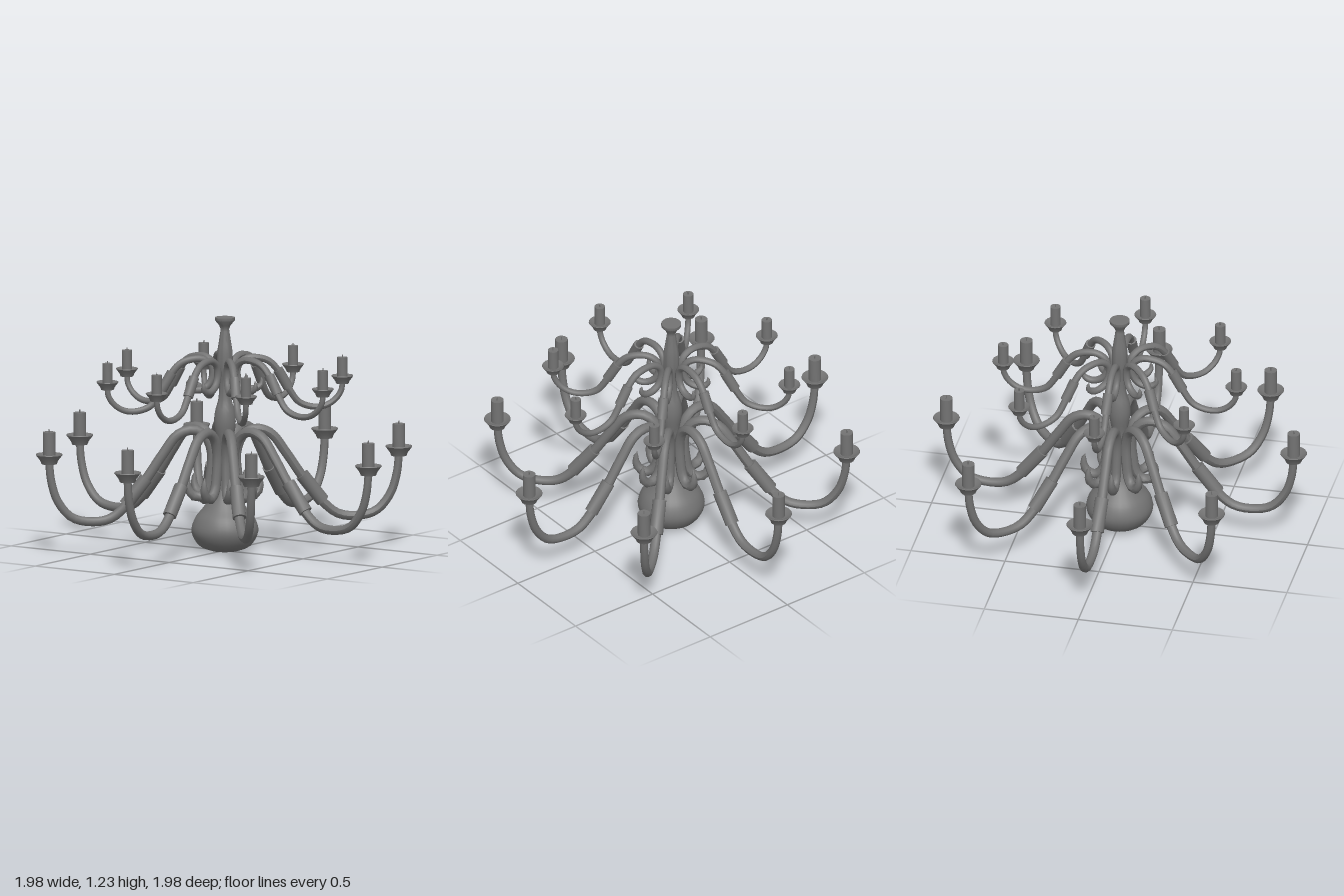
import * as THREE from 'three';
import { toCreasedNormals } from 'three/addons/utils/BufferGeometryUtils.js';

const material = new THREE.MeshStandardMaterial({ color: 0x737373, side: THREE.DoubleSide });

function addMesh(parent, name, geometry) {
  const mesh = new THREE.Mesh(geometry, material);
  mesh.name = name;
  parent.add(mesh);
  return mesh;
}

const vectors = (points) => points.map(([x, y]) => new THREE.Vector2(x, y));

// Turned part; sharp profile corners stay sharp
const lathe = (points, sides) => toCreasedNormals(new THREE.LatheGeometry(vectors(points), sides), 0.7);

// Tube in the XY plane, narrowing to a point over its first part
function taperedTube(points, radius, taper) {
  const curve = new THREE.CatmullRomCurve3(points.map(([x, y]) => new THREE.Vector3(x, y, 0)));
  const segments = 56, sides = 10;
  const geometry = new THREE.TubeGeometry(curve, segments, radius, sides);
  const pos = geometry.attributes.position;
  const v = new THREE.Vector3();
  for (let i = 0; i <= segments; i++) {
    const t = i / segments;
    const centre = curve.getPointAt(t);
    const scale = t < taper ? Math.sqrt(t / taper) : 1 - 0.2 * Math.max(0, t - 0.6) / 0.4;
    for (let j = 0; j <= sides; j++) {
      const k = i * (sides + 1) + j;
      v.fromBufferAttribute(pos, k).sub(centre).multiplyScalar(scale).add(centre);
      pos.setXYZ(k, v.x, v.y, v.z);
    }
  }
  geometry.computeVertexNormals();
  return geometry;
}

// One arm with scroll, sleeve, drip cup, candle and wick, reaching along +x
function makeArm(spec) {
  const arm = new THREE.Group();
  addMesh(arm, 'armTube', taperedTube(spec.path, spec.tube, 0.07));

  const [a, b] = spec.sleeve.map(([x, y]) => new THREE.Vector3(x, y, 0));
  const length = a.distanceTo(b);
  const sleeve = addMesh(arm, 'sleeve', toCreasedNormals(
    new THREE.CylinderGeometry(spec.sleeveRadius, spec.sleeveRadius, length, 12), 0.7));
  sleeve.position.copy(a).lerp(b, 0.5);
  sleeve.quaternion.setFromUnitVectors(new THREE.Vector3(0, 1, 0), b.clone().sub(a).normalize());

  const holder = new THREE.Group();
  holder.name = 'candleHolder';
  holder.position.set(...spec.cup, 0);
  holder.scale.setScalar(spec.cupScale);
  addMesh(holder, 'dripCup', lathe(
    [[0, 0], [0.04, 0], [0.047, 0.018], [0.07, 0.048], [0.068, 0.053], [0.04, 0.038], [0, 0.038]], 20));
  addMesh(holder, 'candle', lathe([[0, 0.03], [0.033, 0.03], [0.033, 0.168], [0, 0.165]], 16));
  const wick = addMesh(holder, 'wick', new THREE.CylinderGeometry(0.003, 0.004, 0.018, 6));
  wick.position.y = 0.174;
  arm.add(holder);
  return arm;
}

const lowerArm = {
  path: [[0.183, 0.405], [0.192, 0.35], [0.172, 0.3], [0.13, 0.285], [0.09, 0.32], [0.07, 0.41],
    [0.065, 0.52], [0.1, 0.607], [0.165, 0.638], [0.245, 0.613], [0.325, 0.51], [0.41, 0.385],
    [0.515, 0.25], [0.6, 0.182], [0.7, 0.168], [0.8, 0.193], [0.875, 0.28], [0.91, 0.39], [0.92, 0.485]],
  tube: 0.026, sleeve: [[0.41, 0.39], [0.52, 0.25]], sleeveRadius: 0.036, cup: [0.92, 0.477], cupScale: 1,
};
const upperArm = {
  path: [[0.19, 0.91], [0.195, 0.875], [0.165, 0.85], [0.125, 0.85], [0.085, 0.875], [0.065, 0.925],
    [0.075, 0.98], [0.12, 1.01], [0.18, 1.01], [0.235, 0.99], [0.285, 0.935], [0.34, 0.84],
    [0.39, 0.773], [0.46, 0.746], [0.53, 0.75], [0.585, 0.784], [0.615, 0.83], [0.62, 0.868]],
  tube: 0.0185, sleeve: [[0.28, 0.945], [0.335, 0.85]], sleeveRadius: 0.027, cup: [0.62, 0.863], cupScale: 0.82,
};

// Small hand-set differences in the spread of the lower arms, in degrees
const lowerOffsets = [0.6, 1.3, -1.8, 1.3, 0.6, 1.3, -0.2, 0.9];

function makeTier(name, spec, offsets) {
  const tier = new THREE.Group();
  tier.name = name;
  for (let i = 0; i < 8; i++) {
    const arm = makeArm(spec);
    arm.name = name + 'Arm' + (i + 1);
    arm.rotation.y = -THREE.MathUtils.degToRad(i * 45 + offsets[i]);
    tier.add(arm);
  }
  return tier;
}

export function createModel() {
  const chandelier = new THREE.Group();
  chandelier.name = 'chandelier';

  // Pear-shaped bowl and baluster column, smoothed from a few points
  const profile = new THREE.SplineCurve(vectors([
    [0.07, 0.002], [0.135, 0.03], [0.174, 0.1], [0.157, 0.17], [0.115, 0.225], [0.075, 0.285],
    [0.05, 0.36], [0.038, 0.46], [0.04, 0.56], [0.056, 0.66], [0.052, 0.73], [0.034, 0.8],
    [0.03, 0.88], [0.04, 0.96], [0.04, 1.04], [0.03, 1.11], [0.022, 1.165],
  ])).getPoints(64).map((p) => [p.x, p.y]);
  const column = addMesh(chandelier, 'column', lathe(
    [[0, 0], ...profile, [0.03, 1.185], [0.052, 1.212], [0.052, 1.227], [0, 1.227]], 28));

  const lowerTier = makeTier('lowerTier', lowerArm, lowerOffsets);
  const upperTier = makeTier('upperTier', upperArm, Array(8).fill(0));
  chandelier.add(lowerTier, upperTier);

  // The column and upper tier hang slightly off the centre of the lower tier
  column.position.x = upperTier.position.x = 0.005;
  return chandelier;
}
